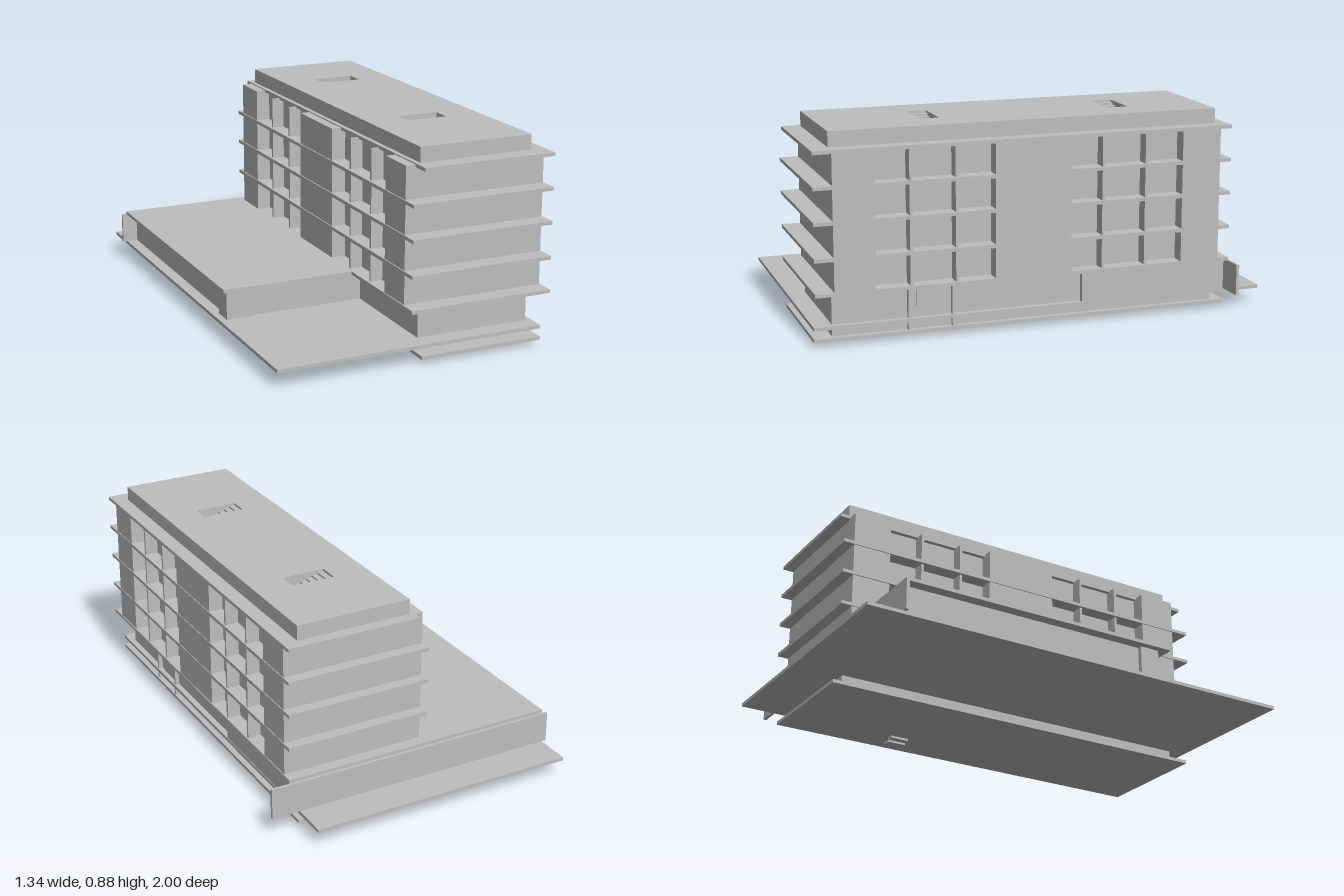
import * as THREE from 'three';

export function createModel() {
  const model = new THREE.Group();
  model.name = 'apartmentBlock';
  const concrete = new THREE.MeshStandardMaterial({ color: 0xbebebe });
  concrete.name = 'concreteGrey';

  // Box from its limits on each axis
  const box = (name, x0, x1, y0, y1, z0, z1) => {
    const mesh = new THREE.Mesh(new THREE.BoxGeometry(x1 - x0, y1 - y0, z1 - z0), concrete);
    mesh.position.set((x0 + x1) / 2, (y0 + y1) / 2, (z0 + z1) / 2);
    mesh.name = name;
    model.add(mesh);
    return mesh;
  };

  // Base slabs
  box('basementSlab', -0.015, 0.54, 0.02, 0.035, -0.83, 1);
  box('groundSlab', -0.65, 0.54, 0.07, 0.085, -1, 1);

  // Inner core, from the basement up to the roof slab
  box('core', 0.005, 0.515, 0.035, 0.81, -0.78, 0.92);

  // Floor slabs, overhanging both ends
  const levels = [0.22, 0.365, 0.515, 0.66];
  levels.forEach((y) => box('floorSlab', -0.063, 0.58, y, y + 0.015, -0.83, 1));
  box('roofSlab', -0.015, 0.58, 0.805, 0.82, -0.83, 1);

  // Flush outer walls that frame the balcony bays
  const walls = [[-0.78, -0.605], [-0.10, 0.235], [0.745, 0.92]];
  for (const [z0, z1] of walls) {
    box('rightWall', 0.5, 0.577, 0.23, 0.81, z0, z1);
    box('leftWall', -0.058, 0.02, 0.225, 0.815, z0, z1);
  }

  // Balcony dividers
  for (const z of [0.595, 0.4, -0.245, -0.44]) {
    box('rightDivider', 0.51, 0.573, 0.23, 0.81, z - 0.006, z + 0.006);
    box('leftDivider', -0.05, 0.01, 0.23, 0.81, z - 0.006, z + 0.006);
  }

  // Ground floor: entrance posts, door and projecting screen wall
  for (const z of [0.595, 0.405]) {
    box('entrancePost', 0.51, 0.535, 0.035, 0.22, z - 0.006, z + 0.006);
  }
  box('entranceDoor', 0.514, 0.519, 0.085, 0.205, 0.44, 0.56);
  box('screenWall', 0.51, 0.538, 0.085, 0.22, -0.83, -0.165);

  // Low wing on the left with its roof and corner pier
  box('wingRoof', -0.65, -0.055, 0.22, 0.235, -0.83, 0.445);
  box('wingBody', -0.60, 0.01, 0.085, 0.22, -0.83, 0.39);
  box('wingPier', -0.62, -0.5, 0.085, 0.22, 0.31, 0.4);

  // Long thin wall across the back
  box('backWall', -0.67, 0.665, 0.085, 0.22, -0.843, -0.83);

  // Raised roof with two stair openings
  const roof = new THREE.Shape();
  roof.moveTo(0.005, -0.92);
  roof.lineTo(0.515, -0.92);
  roof.lineTo(0.515, 0.78);
  roof.lineTo(0.005, 0.78);
  roof.closePath();
  const openings = [[-0.44, -0.35], [0.41, 0.495]];
  for (const [z0, z1] of openings) {
    const hole = new THREE.Path();
    hole.moveTo(0.165, -z0);
    hole.lineTo(0.355, -z0);
    hole.lineTo(0.355, -z1);
    hole.lineTo(0.165, -z1);
    hole.closePath();
    roof.holes.push(hole);
    // Steps going down into the opening
    const steps = 7;
    const tread = 0.19 / steps;
    for (let i = 0; i < steps; i++) {
      const x = 0.165 + i * tread;
      box('roofStep', x, x + tread, 0.815, 0.875 - i * 0.008, z0, z1);
    }
  }
  const raisedRoof = new THREE.Mesh(
    new THREE.ExtrudeGeometry(roof, { depth: 0.065, bevelEnabled: false }), concrete);
  raisedRoof.rotation.x = -Math.PI / 2;
  raisedRoof.position.y = 0.82;
  raisedRoof.name = 'raisedRoof';
  model.add(raisedRoof);

  // Small steps under the basement slab
  box('underStepUpper', 0.39, 0.425, 0.01, 0.02, -0.34, -0.255);
  box('underStepLower', 0.42, 0.455, 0, 0.011, -0.34, -0.255);

  return model;
}
